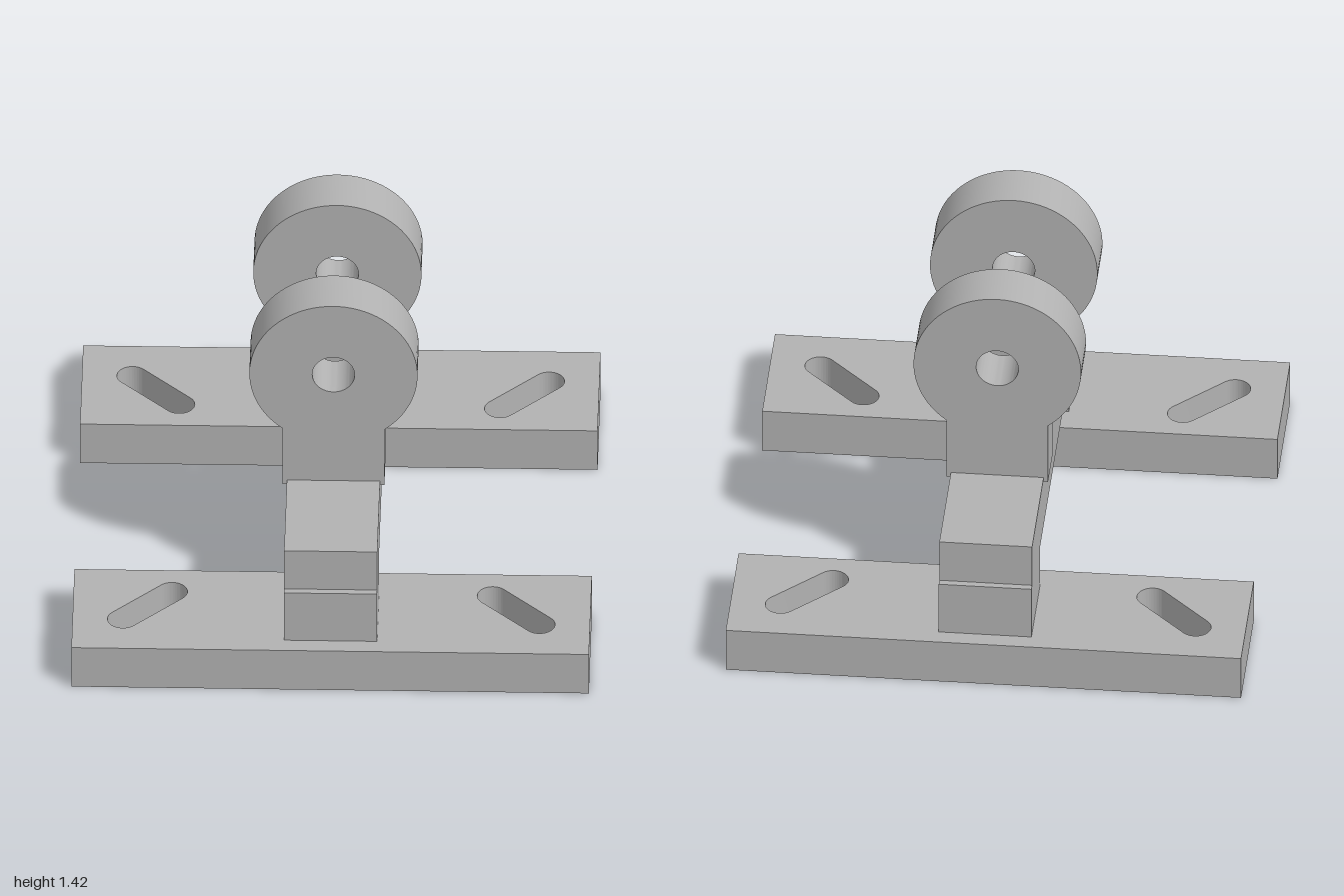
import * as THREE from 'three';
import { toCreasedNormals } from 'three/addons/utils/BufferGeometryUtils.js';

const PLATE_H = 0.185;

// Extrude a shape, smooth on curves and sharp on edges
function extrude(shape, depth) {
  const geo = new THREE.ExtrudeGeometry(shape, { depth, bevelEnabled: false, curveSegments: 32 });
  return toCreasedNormals(geo, 0.6);
}

// Diagonal rounded slot from (a, a) to (b, b), mirrored in x by side
function slotHole(side, a, b, r) {
  const hole = new THREE.Path();
  const dir = Math.atan2(b - a, side * (b - a));
  hole.absarc(side * b, b, r, dir - Math.PI / 2, dir + Math.PI / 2, false);
  hole.absarc(side * a, a, r, dir + Math.PI / 2, dir + Math.PI * 1.5, false);
  hole.closePath();
  return hole;
}

function plateGeometry() {
  const s = new THREE.Shape();
  s.moveTo(-1, 0.48);
  s.lineTo(1, 0.48);
  s.lineTo(1, 1);
  s.lineTo(-1, 1);
  s.closePath();
  for (const side of [-1, 1]) s.holes.push(slotHole(side, 0.62, 0.805, 0.06));
  return extrude(s, PLATE_H).rotateX(Math.PI / 2).translate(0, PLATE_H, 0);
}

// Round eye on a straight neck, with a pin hole
function lugGeometry() {
  const cy = 1.095, r = 0.325, half = 0.197;
  const a = Math.asin(half / r);
  const s = new THREE.Shape();
  s.moveTo(-half, 0.572);
  s.lineTo(half, 0.572);
  s.absarc(0, cy, r, -Math.PI / 2 + a, Math.PI * 1.5 - a, false);
  s.closePath();
  const pin = new THREE.Path();
  pin.absarc(0, cy, 0.082, 0, Math.PI * 2, true);
  s.holes.push(pin);
  return extrude(s, 0.204).translate(0, 0, 0.232);
}

export function createModel() {
  const model = new THREE.Group();
  model.name = 'mountingBracket';
  const grey = new THREE.MeshStandardMaterial({ color: 0xb2b2b2 });
  grey.name = 'plain grey';

  const add = (parent, name, geo) => {
    const mesh = new THREE.Mesh(geo, grey);
    mesh.name = name;
    parent.add(mesh);
    return mesh;
  };

  // Bridge beam joining both ends
  add(model, 'beam', new THREE.BoxGeometry(0.36, 0.225, 1.81)).position.y = 0.4785;

  // Each end: slotted plate, foot block and lug
  const plate = plateGeometry();
  const lug = lugGeometry();
  const foot = new THREE.BoxGeometry(0.36, 0.225, 0.342).translate(0, 0.2975, 0.761);
  for (const [name, angle] of [['front', 0], ['back', Math.PI]]) {
    const end = new THREE.Group();
    end.name = name + 'End';
    end.rotation.y = angle;
    add(end, name + 'Plate', plate);
    add(end, name + 'Foot', foot);
    add(end, name + 'Lug', lug);
    model.add(end);
  }
  return model;
}
